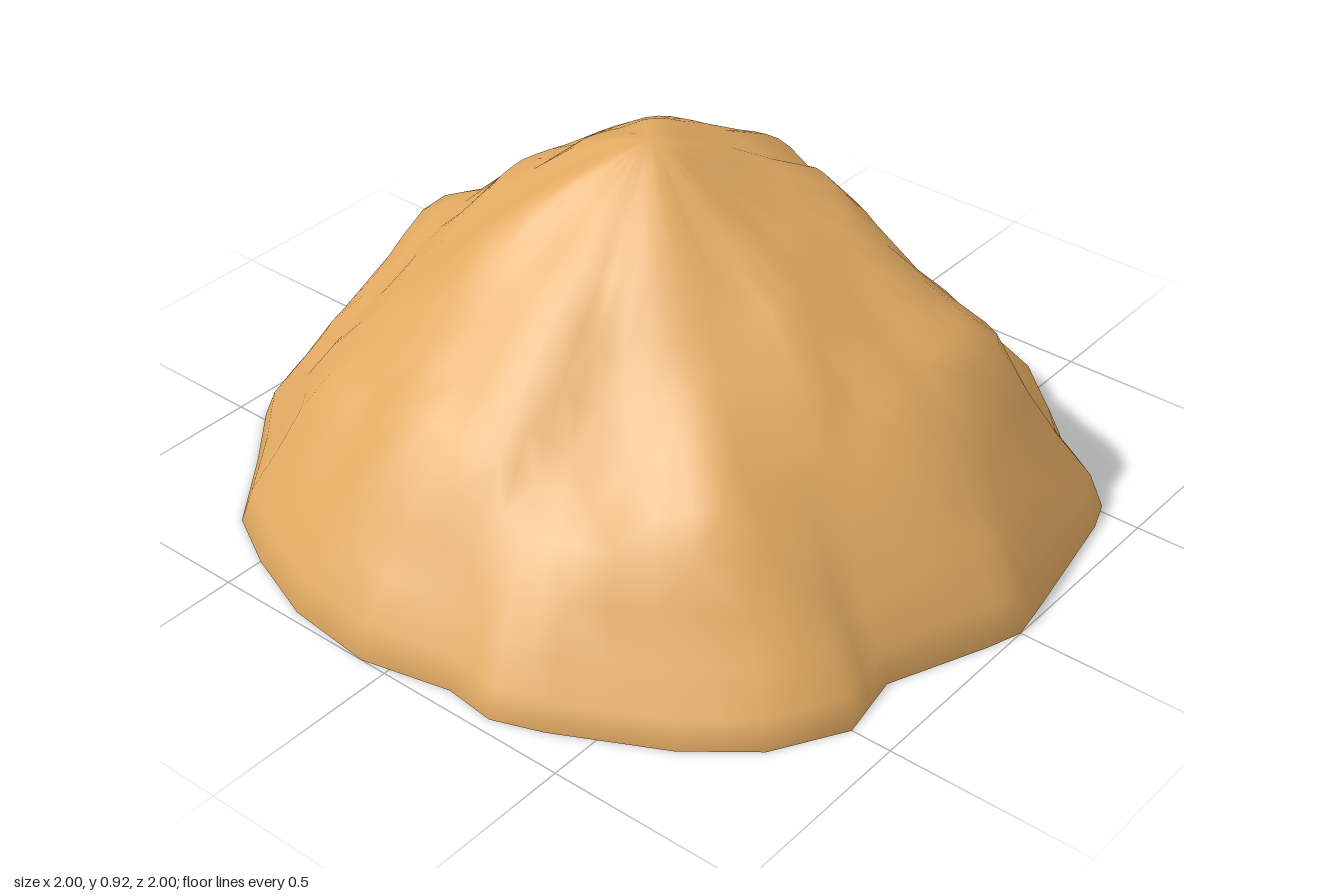
import * as THREE from 'three';

// Ground outline as x, z pairs, running from +x towards +z
const OUTLINE = [
  1, 0, 0.97, 0.09, 0.87, 0.33, 0.9, 0.5, 0.8, 0.67, 0.65, 0.79, 0.4, 0.92, 0.28, 0.965,
  0.15, 0.95, -0.07, 1, -0.3, 0.975, -0.5, 0.9, -0.65, 0.82, -0.8, 0.63, -0.93, 0.48,
  -0.96, 0.4, -0.99, 0.2, -0.99, -0.04, -1, -0.27, -0.93, -0.47, -0.73, -0.67, -0.62, -0.84,
  -0.5, -0.93, -0.28, -1, -0.07, -1, 0, -0.94, 0.22, -0.94, 0.5, -0.84, 0.65, -0.71,
  0.73, -0.62, 0.89, -0.52, 0.92, -0.44, 0.98, -0.12,
];
const APEX = { x: -0.03, y: 0.917, z: 0.05 };
const LIP = 0.975;

// Slope heights every 30 degrees, at these fractions of the way to the outline
const STOPS = [0, 0.08, 0.2, 0.4, 0.6, 0.75, 0.9, 0.97, 1];
const SLOPES = [
  [0.82, 0.69, 0.56, 0.44, 0.19], [0.80, 0.64, 0.47, 0.32, 0.14],
  [0.79, 0.61, 0.44, 0.31, 0.13], [0.81, 0.69, 0.52, 0.37, 0.17],
  [0.83, 0.71, 0.54, 0.38, 0.18], [0.82, 0.68, 0.49, 0.35, 0.16],
  [0.84, 0.71, 0.54, 0.46, 0.17], [0.84, 0.71, 0.55, 0.42, 0.18],
  [0.86, 0.74, 0.56, 0.40, 0.18], [0.86, 0.77, 0.54, 0.37, 0.19],
  [0.86, 0.75, 0.50, 0.35, 0.17], [0.82, 0.68, 0.55, 0.45, 0.20],
].map((s) => [APEX.y, APEX.y * 0.75 + s[0] * 0.25, ...s, s[4] * 0.45, 0]);

const { lerp, smoothstep } = THREE.MathUtils;

function slopeHeight(angle, t) {
  const a = ((angle / (Math.PI * 2) + 1) % 1) * 12;
  const k = Math.floor(a) % 12;
  let i = 0;
  while (i < STOPS.length - 2 && t > STOPS[i + 1]) i++;
  const f = (t - STOPS[i]) / (STOPS[i + 1] - STOPS[i]);
  const along = (s) => lerp(s[i], s[i + 1], f);
  return lerp(along(SLOPES[k]), along(SLOPES[(k + 1) % 12]), smoothstep(a - Math.floor(a), 0, 1));
}

// Repeatable lumpiness from a hashed grid
function hash(ix, iz) {
  const s = Math.sin(ix * 127.1 + iz * 311.7) * 43758.5453;
  return (s - Math.floor(s)) * 2 - 1;
}
function lumps(x, z) {
  const ix = Math.floor(x), iz = Math.floor(z);
  const u = x - ix, v = z - iz;
  return lerp(lerp(hash(ix, iz), hash(ix + 1, iz), u),
    lerp(hash(ix, iz + 1), hash(ix + 1, iz + 1), u), v);
}

// Outline with a midpoint added on each edge
function makeRim() {
  const rim = [];
  const n = OUTLINE.length / 2;
  for (let i = 0; i < n; i++) {
    const j = (i + 1) % n;
    const [x, z, x2, z2] = [OUTLINE[2 * i], OUTLINE[2 * i + 1], OUTLINE[2 * j], OUTLINE[2 * j + 1]];
    rim.push([x, z], [(x + x2) / 2, (z + z2) / 2]);
  }
  return rim;
}

// Rounder copy of the outline, so its notches stay near the ground
function soften(rim) {
  const n = rim.length;
  return rim.map((_, j) => {
    const sum = [0, 0];
    for (let d = -3; d <= 3; d++) {
      const p = rim[(j + d + n) % n];
      sum[0] += p[0];
      sum[1] += p[1];
    }
    return [sum[0] / 6.9, sum[1] / 6.9];
  });
}

function build(positions, indices) {
  const geo = new THREE.BufferGeometry();
  geo.setAttribute('position', new THREE.Float32BufferAttribute(positions, 3));
  geo.setIndex(indices);
  geo.computeVertexNormals();
  return geo;
}

// Rings of the mound from the peak to the ground, then a narrow lip turned under
function moundGeometry(rim) {
  const n = rim.length;
  const soft = soften(rim);
  const rings = [0.08, 0.2, 0.3, 0.4, 0.5, 0.6, 0.68, 0.75, 0.83, 0.9, 0.97, 1];
  const positions = [APEX.x, APEX.y, APEX.z];
  const indices = [];
  for (const t of rings) {
    const notch = smoothstep(t, 0.6, 0.97);
    rim.forEach((p, j) => {
      const rx = lerp(soft[j][0], p[0], notch), rz = lerp(soft[j][1], p[1], notch);
      const x = lerp(APEX.x, rx, t), z = lerp(APEX.z, rz, t);
      const angle = Math.atan2(rz - APEX.z, rx - APEX.x);
      const fade = Math.min(1, t * 3, (1 - t) * 6);
      const y = slopeHeight(angle, t) + fade * (0.024 * lumps(x * 5 + 9, z * 5) + 0.024 * lumps(x * 9, z * 9 + 4));
      const shift = 0.03 * fade;
      positions.push(x + shift * lumps(x * 6, z * 6 + 20), y, z + shift * lumps(x * 6 + 30, z * 6));
    });
  }
  for (const [rx, rz] of rim) positions.push(rx * LIP, 0, rz * LIP);

  for (let j = 0; j < n; j++) {
    const k = (j + 1) % n;
    indices.push(0, 1 + k, 1 + j);
    for (let i = 0; i < rings.length; i++) {
      const a = 1 + i * n + j, d = 1 + i * n + k;
      // Alternate the diagonals for a less regular surface
      if ((i + j) % 2) indices.push(a, d, a + n, d, d + n, a + n);
      else indices.push(a, d, d + n, a, d + n, a + n);
    }
  }
  return build(positions, indices);
}

// Flat underside
function baseGeometry(rim) {
  const positions = [0, 0, 0];
  const indices = [];
  rim.forEach(([x, z], j) => {
    positions.push(x * LIP, 0, z * LIP);
    indices.push(0, 1 + j, 1 + ((j + 1) % rim.length));
  });
  return build(positions, indices);
}

export function createModel() {
  const sand = new THREE.MeshStandardMaterial({ color: 0xe2aa62 });
  sand.name = 'sand';
  const group = new THREE.Group();
  group.name = 'sandMound';
  const rim = makeRim();

  const mound = new THREE.Mesh(moundGeometry(rim), sand);
  mound.name = 'mound';
  const base = new THREE.Mesh(baseGeometry(rim), sand);
  base.name = 'underside';
  group.add(mound, base);
  return group;
}
